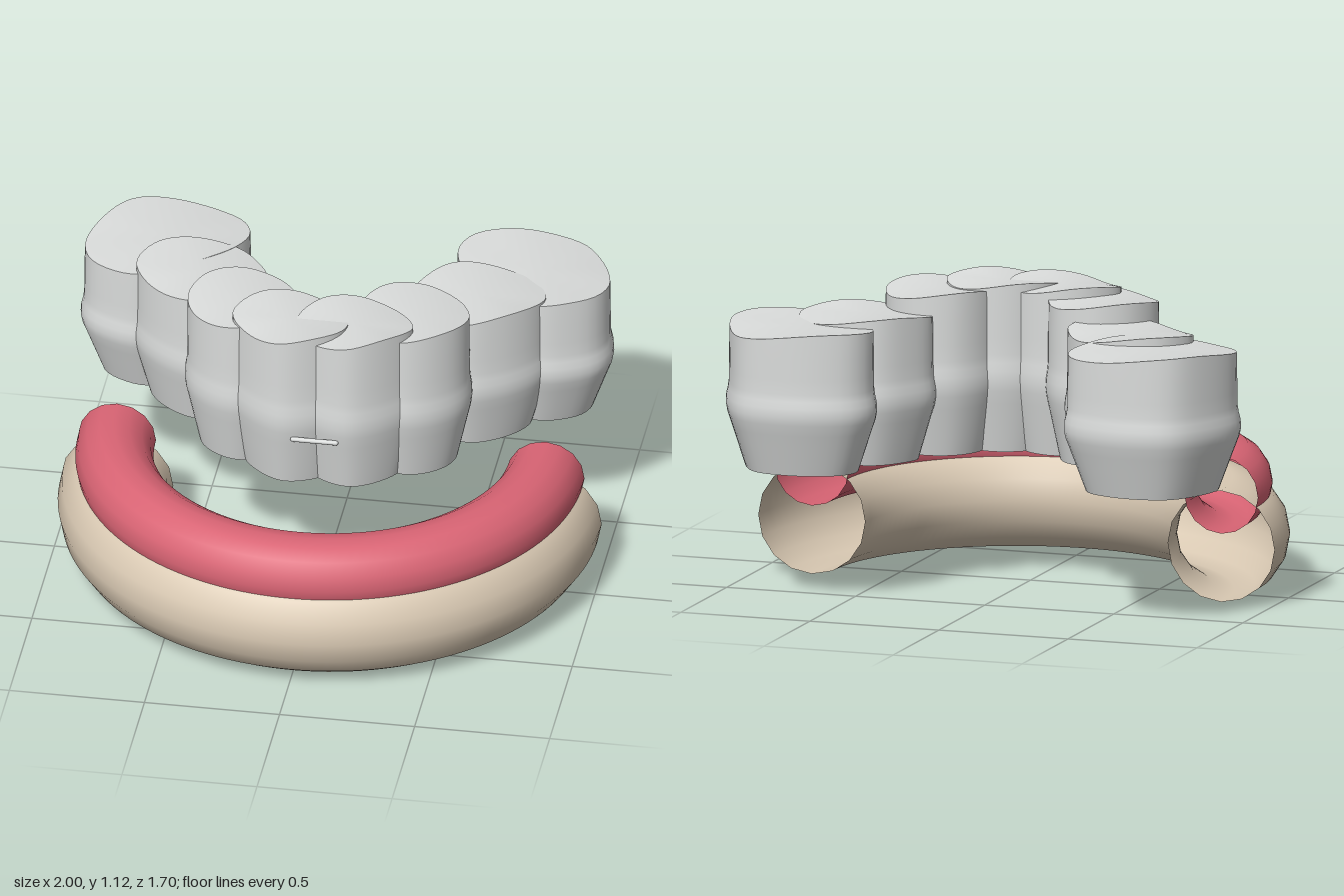
import * as THREE from 'three';

const paint = (name, color) => {
  const m = new THREE.MeshStandardMaterial({ color, side: THREE.DoubleSide });
  m.name = name;
  return m;
};

// Widest outline of each tooth on the +x side as [x, z], with its crown height
const TEETH = [
  { name: 'centralIncisor', top: 1.105, outline: [[0.345, 0.04], [0.27, 0.155], [0.13, 0.235], [0, 0.205],
    [-0.09, 0.13], [-0.105, 0.03], [-0.02, -0.1], [0.12, -0.15], [0.265, -0.095]] },
  { name: 'lateralIncisor', top: 1.085, outline: [[0.53, -0.1], [0.5, 0.01], [0.4, 0.1], [0.29, 0.125],
    [0.17, 0.06], [0.1, -0.05], [0.12, -0.17], [0.2, -0.27], [0.34, -0.305], [0.47, -0.235]] },
  { name: 'premolar', top: 1.025, outline: [[0.77, -0.38], [0.74, -0.29], [0.63, -0.18], [0.49, -0.125],
    [0.34, -0.19], [0.255, -0.32], [0.31, -0.46], [0.4, -0.55], [0.55, -0.57], [0.7, -0.51]] },
  { name: 'molar', top: 1.01, outline: [[0.985, -0.5], [0.95, -0.4], [0.86, -0.335], [0.74, -0.305],
    [0.56, -0.38], [0.42, -0.52], [0.37, -0.66], [0.41, -0.76], [0.52, -0.825], [0.68, -0.85],
    [0.84, -0.81], [0.94, -0.67]] },
];

// Side profile: [fraction of height, scale of the outline]
const PROFILE = [[0, 0.75], [0.1, 0.81], [0.2, 0.87], [0.3, 0.93], [0.38, 0.98], [0.44, 1], [0.5, 0.993],
  [0.55, 0.972], [0.6, 0.96], [0.7, 0.957], [0.85, 0.955], [1, 0.95]];
const BASE = 0.49, SADDLE = 0.016, SEG = 48;

// Open-bottomed tooth: lofted wall plus a saddle-shaped biting surface
function toothGeometry(outline, top) {
  const curve = new THREE.CatmullRomCurve3(outline.map(([x, z]) => new THREE.Vector3(x, 0, z)), true);
  const ring = curve.getSpacedPoints(SEG).slice(0, SEG);
  const box = new THREE.Box3().setFromPoints(ring);
  const c = box.getCenter(new THREE.Vector3());
  const pos = [], index = [];
  const addRing = (scale, y, saddle) => ring.forEach((p) => {
    const dx = p.x - c.x, dz = p.z - c.z;
    const twist = Math.sin(2 * Math.atan2(dz, dx));
    pos.push(c.x + dx * scale, y + saddle * twist, c.z + dz * scale);
  });
  const join = (a, b) => {
    for (let i = 0; i < SEG; i++) {
      const j = (i + 1) % SEG;
      index.push(a + i, b + i, a + j, b + i, b + j, a + j);
    }
  };
  PROFILE.forEach(([f, s], k) => {
    addRing(s, BASE + f * (top - BASE), f === 1 ? SADDLE : 0);
    if (k) join((k - 1) * SEG, k * SEG);
  });
  // The cap has its own rim vertices, so the rim stays sharp
  const first = PROFILE.length * SEG, rings = 5;
  for (let k = 0; k < rings; k++) {
    const s = 1 - k / rings;
    addRing(0.95 * s, top, SADDLE * s * s);
    if (k) join(first + (k - 1) * SEG, first + k * SEG);
  }
  const last = first + (rings - 1) * SEG, centre = pos.length / 3;
  pos.push(c.x, top, c.z);
  for (let i = 0; i < SEG; i++) index.push(centre, last + (i + 1) % SEG, last + i);
  const g = new THREE.BufferGeometry();
  g.setAttribute('position', new THREE.Float32BufferAttribute(pos, 3));
  g.setIndex(index);
  g.computeVertexNormals();
  return g;
}

// Half ring with open ends, curving round the front
function halfRing(name, tube, y, material) {
  const g = new THREE.TorusGeometry(0.793, tube, 16, 64, Math.PI);
  g.rotateX(Math.PI / 2).translate(0, y, -0.155);
  const mesh = new THREE.Mesh(g, material);
  mesh.name = name;
  return mesh;
}

export function createModel() {
  const model = new THREE.Group();
  model.name = 'dentalArch';
  const bone = paint('bone', 0xd9c9b3);
  const gum = paint('gum', 0xd96474);
  const enamel = paint('enamel', 0xd9dbda);

  model.add(halfRing('jawBase', 0.207, 0.207, bone));
  model.add(halfRing('gumRidge', 0.143, 0.397, gum));

  // Teeth on both sides, with the outline mirrored and its order reversed
  const teeth = new THREE.Group();
  teeth.name = 'teeth';
  for (const { name, top, outline } of TEETH) {
    const mirrored = outline.map(([x, z]) => [-x, z]).reverse();
    for (const [side, points] of [['left', outline], ['right', mirrored]]) {
      const tooth = new THREE.Mesh(toothGeometry(points, top), enamel);
      tooth.name = `${side}_${name}`;
      teeth.add(tooth);
    }
  }
  model.add(teeth);

  // Slim bar across the two front teeth
  const bar = new THREE.Mesh(new THREE.CapsuleGeometry(0.009, 0.16, 6, 12), enamel);
  bar.name = 'frontBar';
  bar.rotation.z = Math.PI / 2;
  bar.position.set(0, 0.7, 0.229);
  model.add(bar);

  return model;
}
